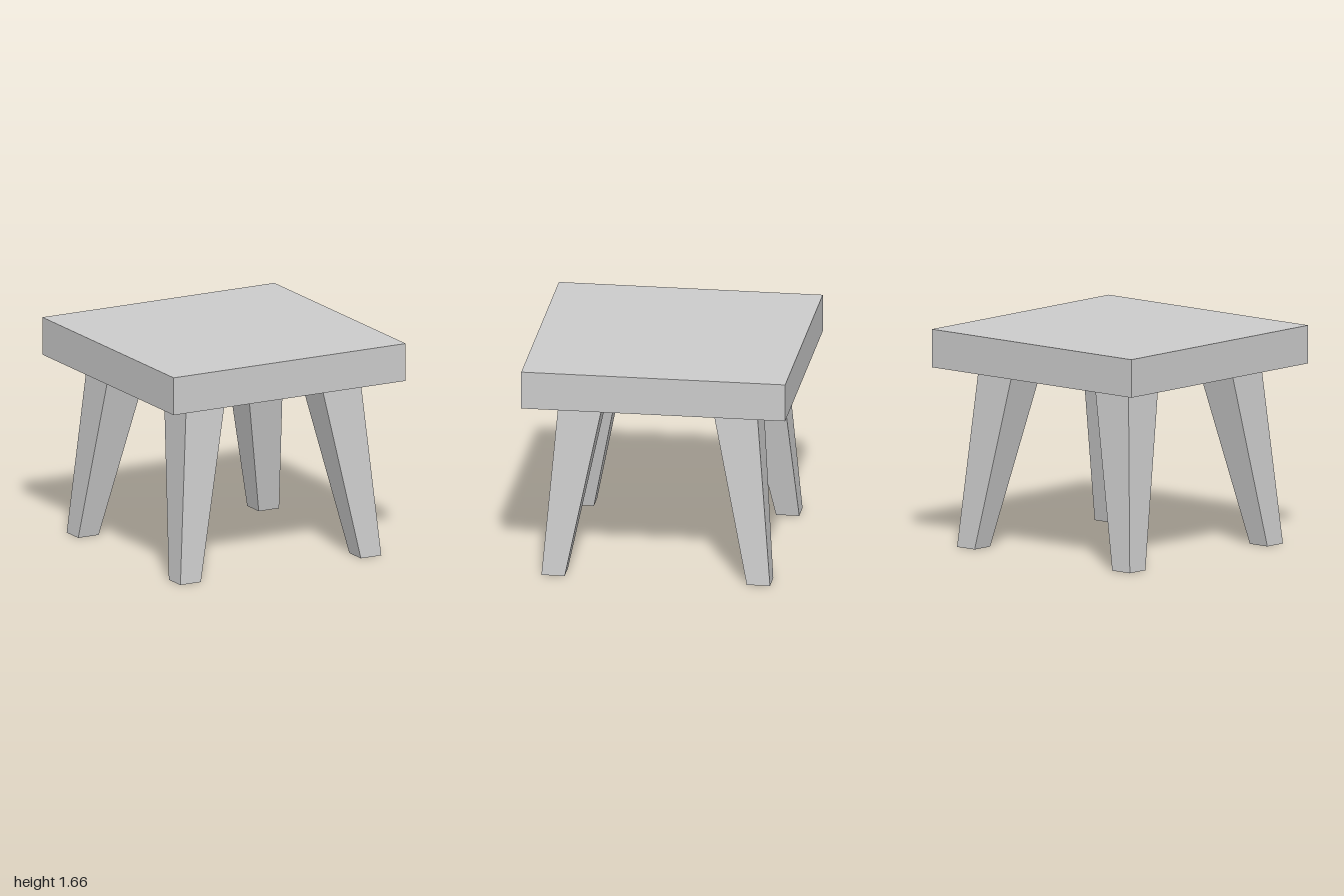
import * as THREE from 'three';

const SEAT_BOTTOM = 1.37, SEAT_TOP = 1.66;
// inner and outer distance of a leg from the centre planes
const FOOT = [0.69, 0.866], HEAD = [0.412, 0.75];

// Tapered, splayed square leg: a box whose corners are moved for the given quadrant
function legGeometry(sx, sz) {
  const geo = new THREE.BoxGeometry(1, 1, 1);
  const pos = geo.attributes.position;
  const place = (c, s, [inner, outer]) => s * (c * s > 0 ? outer : inner);
  for (let i = 0; i < pos.count; i++) {
    const atTop = pos.getY(i) > 0;
    const span = atTop ? HEAD : FOOT;
    pos.setXYZ(i, place(pos.getX(i), sx, span), atTop ? SEAT_BOTTOM : 0, place(pos.getZ(i), sz, span));
  }
  geo.computeVertexNormals();
  return geo;
}

export function createModel() {
  const group = new THREE.Group();
  group.name = 'stool';
  const material = new THREE.MeshStandardMaterial({ color: 0xcccccc, flatShading: true });

  // Square slab seat
  const seat = new THREE.Mesh(new THREE.BoxGeometry(2, SEAT_TOP - SEAT_BOTTOM, 2), material);
  seat.name = 'seat';
  seat.position.y = (SEAT_TOP + SEAT_BOTTOM) / 2;
  group.add(seat);

  // Four legs, one per quadrant
  for (const [sz, end] of [[1, 'front'], [-1, 'back']]) {
    for (const [sx, side] of [[1, 'Left'], [-1, 'Right']]) {
      const leg = new THREE.Mesh(legGeometry(sx, sz), material);
      leg.name = `${end}${side}Leg`;
      group.add(leg);
    }
  }
  return group;
}
